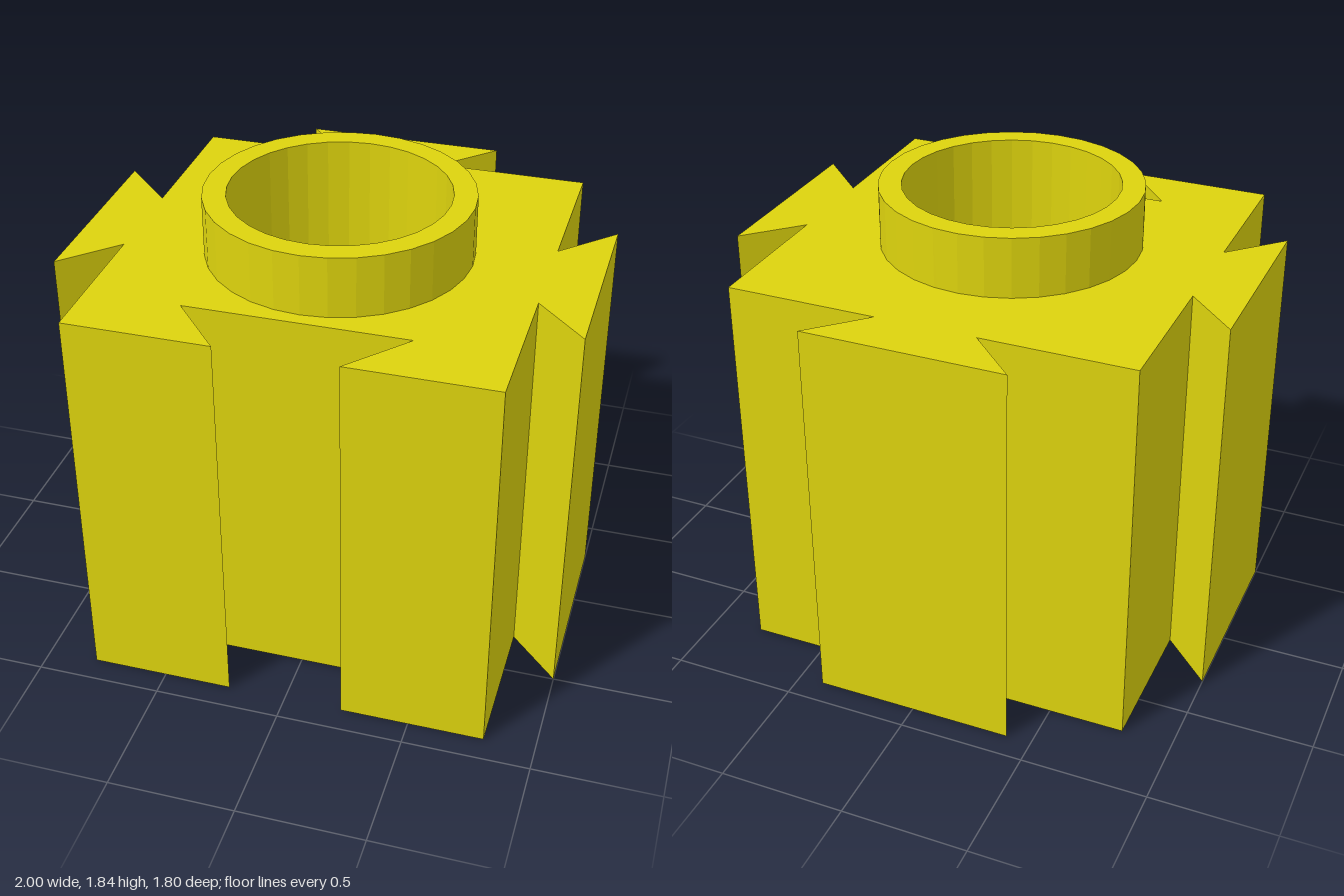
import * as THREE from 'three';

const SIDES = 32, CENTRE_Z = 0.1;   // bore axis sits slightly forward of the origin
const OUTER = 0.515, BORE = 0.425;  // collar / socket radius and bore radius
const HEIGHT = 1.6, COLLAR_TOP = 1.84, STEP = 0.26;

const material = new THREE.MeshStandardMaterial({ color: 0xddd30d, flatShading: true });
const sheetMaterial = material.clone();
sheetMaterial.side = THREE.DoubleSide;

function addMesh(group, name, geometry, mat = material) {
  const mesh = new THREE.Mesh(geometry, mat);
  mesh.name = name;
  group.add(mesh);
  return mesh;
}

// Points on a circle about the bore axis, angles in degrees, plan seen as (x, -z)
function arc(radius, angles) {
  return angles.map((a) => {
    const t = THREE.MathUtils.degToRad(a);
    return new THREE.Vector2(radius * Math.cos(t), -CENTRE_Z - radius * Math.sin(t));
  });
}

const steps = (from, to) =>
  Array.from({ length: to - from + 1 }, (_, i) => ((from + i) * 360) / SIDES);

// Plan of the block: dovetail tongues at left, right and back, dovetail groove at front
function blockShape() {
  const half = [
    [0.43, 0.67], [0.23, 0.9], [0.8, 0.9],               // groove and front corner
    [0.8, 0.3], [1, 0.5], [1, -0.3], [0.8, -0.1],        // side tongue
    [0.8, -0.7], [0.2, -0.7], [0.4, -0.9],               // back corner and tongue
  ];
  const mirrored = half.map(([x, z]) => [-x, z]).reverse();
  return new THREE.Shape([...half, ...mirrored].map(([x, z]) => new THREE.Vector2(x, -z)));
}

export function createModel() {
  const group = new THREE.Group();
  group.name = 'dovetailBlock';

  // Block with its socket-wide hole
  const shape = blockShape();
  shape.holes.push(new THREE.Path(arc(OUTER, steps(0, SIDES - 1))));
  const block = new THREE.ExtrudeGeometry(shape, { depth: HEIGHT, bevelEnabled: false });
  addMesh(group, 'block', block.rotateX(-Math.PI / 2));

  // Sleeve: narrows the bore above the socket and rises as the collar
  const profile = [
    [BORE, STEP], [OUTER, STEP], [OUTER, COLLAR_TOP], [BORE, COLLAR_TOP], [BORE, STEP],
  ].map(([r, y]) => new THREE.Vector2(r, y));
  const sleeve = new THREE.LatheGeometry(profile, SIDES);
  addMesh(group, 'collarSleeve', sleeve).position.z = CENTRE_Z;

  // Thin lip under the socket, its opening cut straight across one stretch
  const lip = new THREE.Shape(arc(OUTER, steps(0, SIDES - 1)));
  lip.holes.push(new THREE.Path(arc(BORE, steps(5, SIDES))));
  addMesh(group, 'socketLip', new THREE.ShapeGeometry(lip).rotateX(-Math.PI / 2), sheetMaterial);

  // Small flat sliver across the bore at the socket step
  const sliver = new THREE.Shape(arc(BORE, [84, ...steps(8, 14)]));
  const ledge = addMesh(group, 'stepLedge',
    new THREE.ShapeGeometry(sliver).rotateX(-Math.PI / 2), sheetMaterial);
  ledge.position.y = STEP;

  return group;
}
